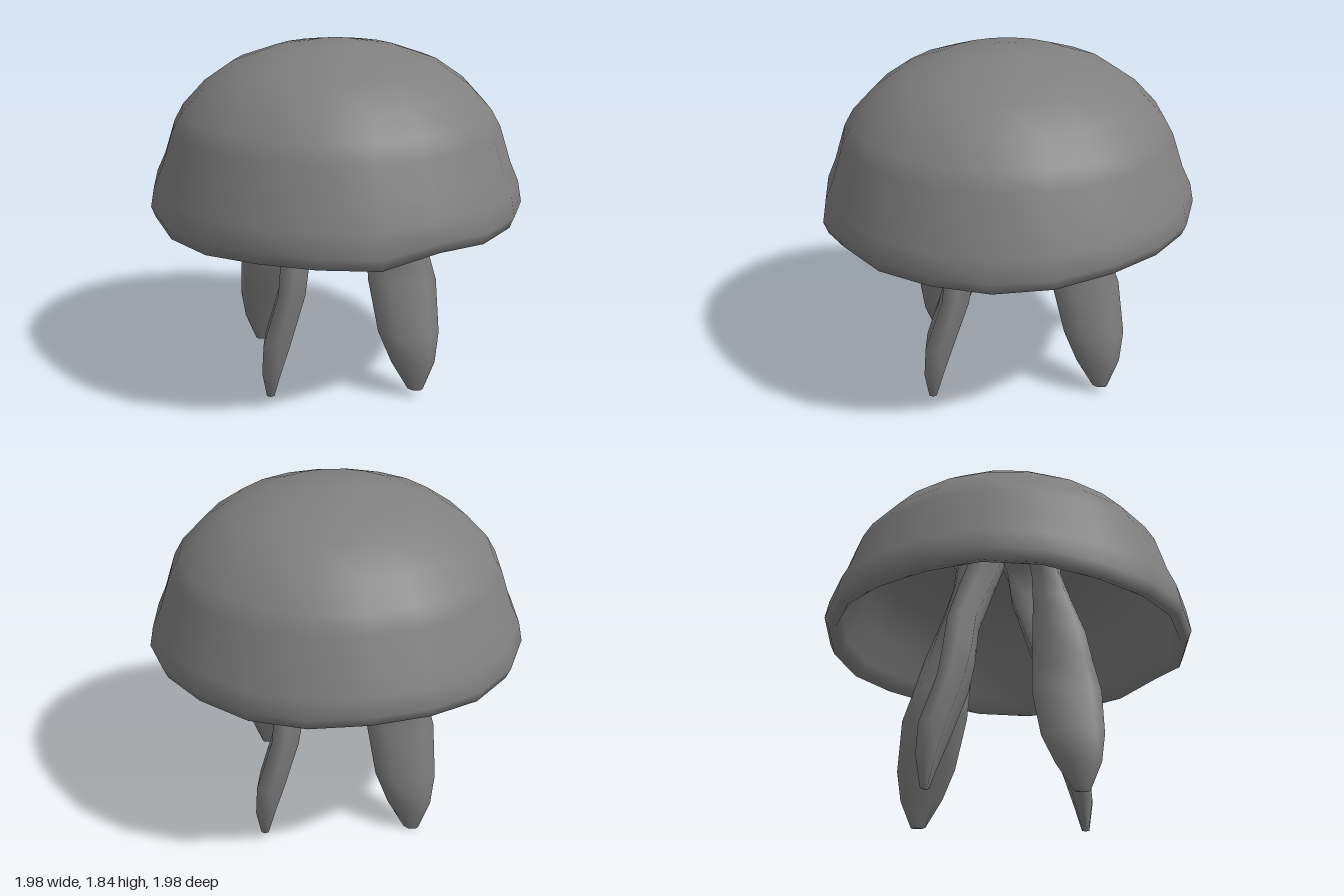
import * as THREE from 'three';
import { mergeVertices } from 'three/addons/utils/BufferGeometryUtils.js';

const bodyGrey = new THREE.MeshStandardMaterial({ color: 0x808080 });
bodyGrey.name = 'bodyGrey';

// Weld seams and give smooth normals
function smooth(geometry) {
  geometry.deleteAttribute('normal');
  geometry.deleteAttribute('uv');
  const welded = mergeVertices(geometry, 1e-4);
  welded.computeVertexNormals();
  return welded;
}

// Hollow bell: down the inside from the ceiling, round an uneven lip, up the outside
function makeBell() {
  const profile = [
    [0, 1.63], [0.3, 1.61], [0.52, 1.54], [0.7, 1.4], [0.82, 1.2], [0.9, 1.03],
    [0.93, 0.96], [0.97, 0.95], [0.995, 1.01], [0.975, 1.12], [0.93, 1.22], [0.87, 1.41],
    [0.82, 1.5], [0.7, 1.63], [0.55, 1.735], [0.34, 1.81], [0.13, 1.846], [0, 1.85],
  ].map(([r, y]) => new THREE.Vector2(r, y));
  const geo = new THREE.LatheGeometry(profile, 20, 0.08);
  const p = geo.attributes.position;
  for (let i = 0; i < p.count; i++) {
    const x = p.getX(i), y = p.getY(i), z = p.getZ(i);
    const low = THREE.MathUtils.clamp((1.3 - y) / 0.33, 0, 1);
    const a = Math.atan2(x, z);
    const notch = 0.05 * Math.exp(-Math.pow((a + 0.2) / 0.18, 2));
    const wave = 0.012 * Math.sin(a * 5 + 0.6);
    p.setY(i, y + low * (0.022 * x - 0.022 * z + notch + wave));
  }
  const bell = new THREE.Mesh(smooth(geo), bodyGrey);
  bell.name = 'bell';
  return bell;
}

// Arm rings: height, then the span along the blade and the span across it,
// both measured on axes turned 45 degrees from the arm's outward direction
const armRings = [
  [0.02, 0.36, 0.44, 0.38, 0.42], [0.17, 0.27, 0.5, 0.34, 0.44], [0.33, 0.2, 0.52, 0.29, 0.43],
  [0.6, 0.15, 0.51, 0.2, 0.34], [0.76, 0.15, 0.47, 0.17, 0.32], [0.95, 0.15, 0.43, 0.15, 0.3],
  [1.15, 0.15, 0.36, 0.08, 0.25], [1.35, 0.14, 0.3, 0.01, 0.19], [1.5, 0.11, 0.3, -0.01, 0.22],
  [1.66, 0.02, 0.4, -0.06, 0.36],
];

// Blade-shaped arm hanging from the ceiling, flaring at its root
function makeArm(name, angle, reach, shift, lift) {
  const positions = [], index = [], sides = 6;
  // Cross-section points as shares of both spans
  const section = [[0, 0.45], [0.3, 1], [0.85, 1], [1, 0.5], [0.85, 0], [0.2, 0]];
  for (const [y, a0, a1, d0, d1] of armRings) {
    const low = THREE.MathUtils.clamp((1.5 - y) / 1.1, 0, 1);
    for (const [along, across] of section) {
      const a = THREE.MathUtils.lerp(a0, a1, along);
      const d = THREE.MathUtils.lerp(d0, d1, across);
      positions.push(
        (a - d) * Math.SQRT1_2 + shift * low,
        y + lift * low,
        (a + d) * Math.SQRT1_2 + reach * low,
      );
    }
  }
  for (let j = 0; j < armRings.length - 1; j++) {
    for (let i = 0; i < sides; i++) {
      const a = j * sides + i, b = j * sides + (i + 1) % sides;
      index.push(a, b, a + sides, b, b + sides, a + sides);
    }
  }
  // Close the tip; the root ends inside the bell
  for (let i = 1; i < sides - 1; i++) index.push(0, i + 1, i);
  const geo = new THREE.BufferGeometry();
  geo.setAttribute('position', new THREE.Float32BufferAttribute(positions, 3));
  geo.setIndex(index);
  geo.computeVertexNormals();
  const arm = new THREE.Mesh(geo, bodyGrey);
  arm.name = name;
  arm.rotation.y = angle;
  return arm;
}

export function createModel() {
  const model = new THREE.Group();
  model.name = 'jellyfish';
  model.add(
    makeBell(),
    makeArm('frontArm', 0, 0.02, 0.02, 0.03),
    makeArm('rightArm', -Math.PI / 2, -0.05, 0.03, -0.01),
    makeArm('leftArm', Math.PI / 2, 0.04, 0.11, 0.03),
    makeArm('backArm', Math.PI, 0.01, 0.04, -0.01),
  );
  return model;
}
